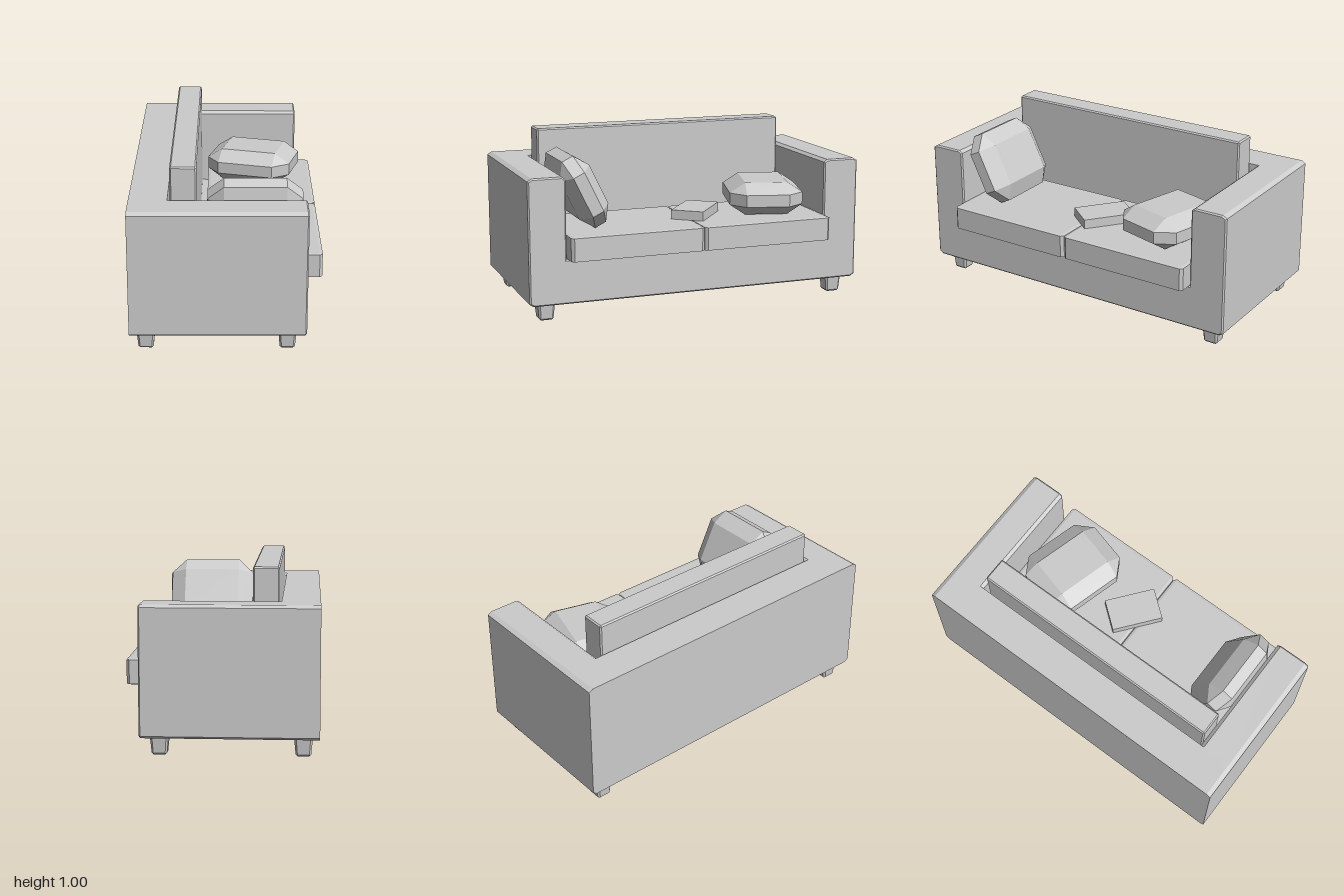
import * as THREE from 'three';
import { ConvexGeometry } from 'three/addons/geometries/ConvexGeometry.js';

const material = new THREE.MeshStandardMaterial({ color: 0xcccccc, flatShading: true });

function addMesh(parent, name, geometry, x = 0, y = 0, z = 0) {
  const mesh = new THREE.Mesh(geometry, material);
  mesh.name = name;
  mesh.position.set(x, y, z);
  parent.add(mesh);
  return mesh;
}

// Box with chamfered edges; c is the horizontal chamfer, cy the vertical one,
// taper is the relative width of the bottom.
function chamferBox(w, h, d, c, cy = c, taper = 1) {
  const points = [];
  for (const sx of [-1, 1]) for (const sy of [-1, 1]) for (const sz of [-1, 1]) {
    const corner = [
      [w / 2, h / 2 - cy, d / 2 - c],
      [w / 2 - c, h / 2, d / 2 - c],
      [w / 2 - c, h / 2 - cy, d / 2],
    ];
    for (const [x, y, z] of corner) {
      const k = THREE.MathUtils.lerp(taper, 1, (sy * y) / h + 0.5);
      points.push(new THREE.Vector3(sx * x * k, sy * y, sz * z * k));
    }
  }
  return new ConvexGeometry(points);
}

// Half of a profile (z, y) mirrored to a closed outline and swept along x.
function sweep(half, x0, x1, bevel) {
  const outline = [...half, ...half.map(([z, y]) => [-z, y]).reverse()];
  const shape = new THREE.Shape(outline.map(([z, y]) => new THREE.Vector2(z, y)));
  const geometry = new THREE.ExtrudeGeometry(shape, {
    depth: x1 - x0 - 2 * bevel,
    bevelEnabled: bevel > 0,
    bevelThickness: bevel,
    bevelSize: bevel,
    bevelOffset: -bevel,
    bevelSegments: 1,
  });
  geometry.translate(0, 0, x0 + bevel);
  geometry.rotateY(Math.PI / 2);
  return geometry;
}

export function createModel() {
  const sofa = new THREE.Group();
  sofa.name = 'sofa';

  // Frame: a full-height back slab and a U-shaped seat with arms
  const frame = new THREE.Group();
  frame.name = 'frame';
  sofa.add(frame);
  const outer = [[0.975, 0.1], [1, 0.115], [1, 0.805], [0.975, 0.82]];
  addMesh(frame, 'backFrame', sweep(outer, -0.53, -0.32, 0));
  const arms = [...outer, [0.805, 0.82], [0.785, 0.805], [0.785, 0.355]];
  addMesh(frame, 'seatAndArms', sweep(arms, -0.35, 0.435, 0.008));

  // Tapered legs
  for (const x of [-0.442, 0.332]) for (const z of [-0.89, 0.89]) {
    addMesh(sofa, 'leg', chamferBox(0.102, 0.11, 0.102, 0.012, 0.01, 0.8), x, 0.055, z);
  }

  // Back and seat cushions
  addMesh(sofa, 'backCushion', chamferBox(0.145, 0.645, 1.535, 0.008), -0.235, 0.6775, 0.017);
  for (const side of [-1, 1]) {
    addMesh(sofa, 'seatCushion', chamferBox(0.645, 0.14, 0.782, 0.016, 0.004),
      0.2025, 0.425, side * 0.393 - 0.003);
  }

  // Pillows: one lying flat, one leaning on the left arm
  const pillow = chamferBox(0.52, 0.19, 0.43, 0.09, 0.06);
  addMesh(sofa, 'flatPillow', pillow, 0.165, 0.593, -0.508)
    .rotation.y = THREE.MathUtils.degToRad(-15.5);
  addMesh(sofa, 'leaningPillow', pillow, 0.155, 0.705, 0.648)
    .rotation.x = THREE.MathUtils.degToRad(-64);

  // Book on the seat
  addMesh(sofa, 'book', new THREE.BoxGeometry(0.306, 0.055, 0.194), 0.19, 0.522, -0.068)
    .rotation.y = THREE.MathUtils.degToRad(-38.5);

  return sofa;
}
